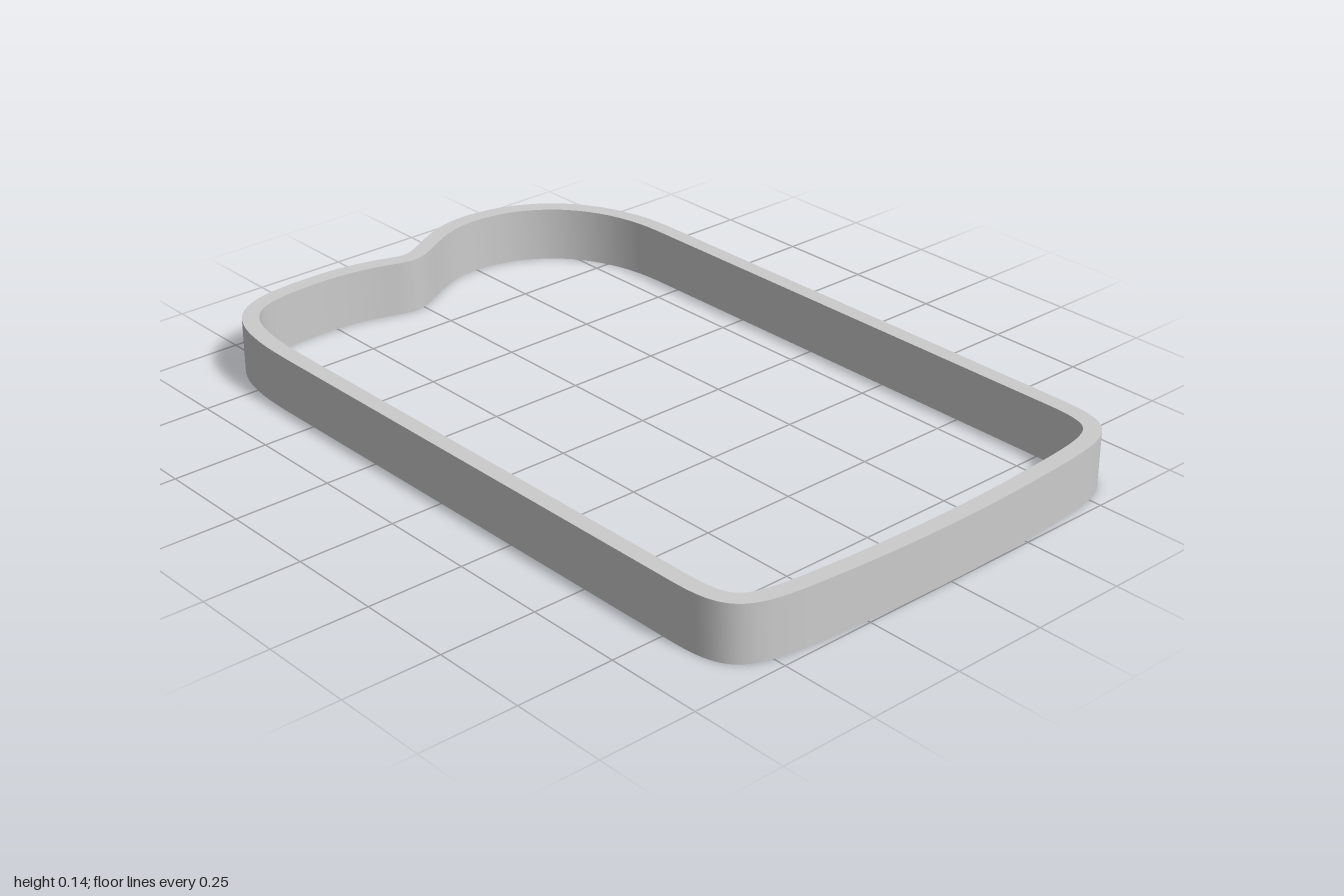
import * as THREE from 'three';
import { toCreasedNormals } from 'three/addons/utils/BufferGeometryUtils.js';

const HEIGHT = 0.145;
const WALL = 0.043;
const HALF = 0.612; // half the width

// Outer outline, drawn clockwise with the back of the ring at +y
function outerOutline() {
  const p = new THREE.Path();
  p.moveTo(-HALF, -0.78);
  p.lineTo(-HALF, 0.6);
  p.bezierCurveTo(-HALF, 0.9, -0.53, 0.95, -0.29, 0.95); // low lobe
  p.bezierCurveTo(-0.13, 0.95, -0.065, 0.903, -0.03, 0.903); // notch
  p.bezierCurveTo(0.02, 0.903, 0.11, 1, 0.24, 1);
  p.bezierCurveTo(0.45, 1, HALF, 0.84, HALF, 0.58); // high lobe
  p.lineTo(HALF, -0.78);
  p.bezierCurveTo(HALF, -0.95, 0.56, -0.97, 0.35, -0.985); // front corner
  p.bezierCurveTo(0.12, -1.004, -0.12, -1.004, -0.35, -0.985); // bowed front
  p.bezierCurveTo(-0.56, -0.97, -HALF, -0.95, -HALF, -0.78);
  const points = p.getPoints(20);
  points.pop(); // the last point repeats the first
  return points;
}

// Moves each point of a clockwise loop inward by the wall thickness
function inset(points, distance) {
  const n = points.length;
  return points.map((pt, i) => {
    const before = pt.clone().sub(points[(i + n - 1) % n]).normalize();
    const after = points[(i + 1) % n].clone().sub(pt).normalize();
    const t = before.add(after).normalize();
    return new THREE.Vector2(pt.x + t.y * distance, pt.y - t.x * distance);
  });
}

export function createModel() {
  const group = new THREE.Group();
  group.name = 'outlineFrame';

  // Thin upright wall following the outline, open through the middle;
  // the hole runs the other way round so its faces look inward
  const outer = outerOutline();
  const shape = new THREE.Shape(outer);
  shape.holes.push(new THREE.Path(inset(outer, WALL).reverse()));
  const extruded = new THREE.ExtrudeGeometry(shape, { depth: HEIGHT, bevelEnabled: false });
  extruded.rotateX(-Math.PI / 2);

  const wall = new THREE.Mesh(
    toCreasedNormals(extruded, Math.PI / 5),
    new THREE.MeshStandardMaterial({ color: 0xcccccc })
  );
  wall.name = 'frameWall';
  group.add(wall);
  return group;
}
